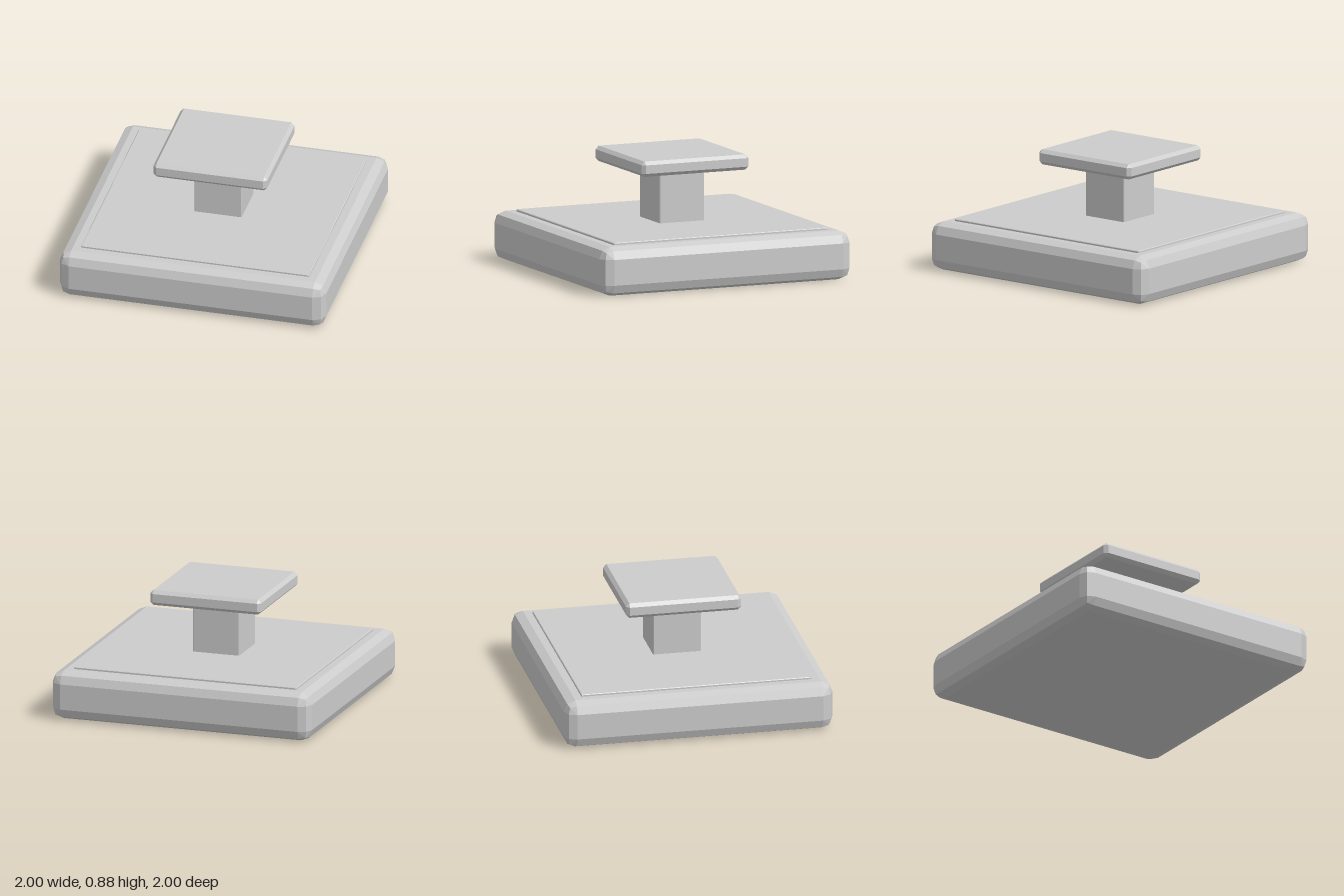
import * as THREE from 'three';
import { ConvexGeometry } from 'three/addons/geometries/ConvexGeometry.js';

// Faceted bevelled box: rings of corner points, one (chamfer) or two (rounded) steps per edge
function bevelBox(w, h, d, r, steps) {
  const dirs = [[1, 0, 0], [0, 1, 0], [0, 0, 1]];
  if (steps === 2) dirs.push([1, 1, 0], [1, 0, 1], [0, 1, 1], [1, 1, 1]);
  const points = [];
  for (const sx of [-1, 1]) for (const sy of [-1, 1]) for (const sz of [-1, 1]) {
    for (const dir of dirs) {
      const p = new THREE.Vector3(...dir).normalize().multiplyScalar(r);
      p.add(new THREE.Vector3(w / 2 - r, h / 2 - r, d / 2 - r));
      points.push(p.multiply(new THREE.Vector3(sx, sy, sz)));
    }
  }
  return new ConvexGeometry(points);
}

export function createModel() {
  const group = new THREE.Group();
  const grey = new THREE.MeshStandardMaterial({ color: 0xcccccc });
  grey.name = 'light grey';

  const addSlab = (name, width, bottom, top, bevel, steps) => {
    const mesh = new THREE.Mesh(bevelBox(width, top - bottom, width, bevel, steps), grey);
    mesh.name = name;
    mesh.position.y = (bottom + top) / 2;
    group.add(mesh);
  };

  // Stacked square parts, from the ground up
  addSlab('base', 2, 0, 0.36, 0.085, 2);
  addSlab('topPanel', 1.714, 0.34, 0.376, 0.005, 1);
  addSlab('post', 0.356, 0.36, 0.785, 0.005, 1);
  addSlab('upperPlate', 0.856, 0.767, 0.88, 0.025, 1);

  return group;
}
